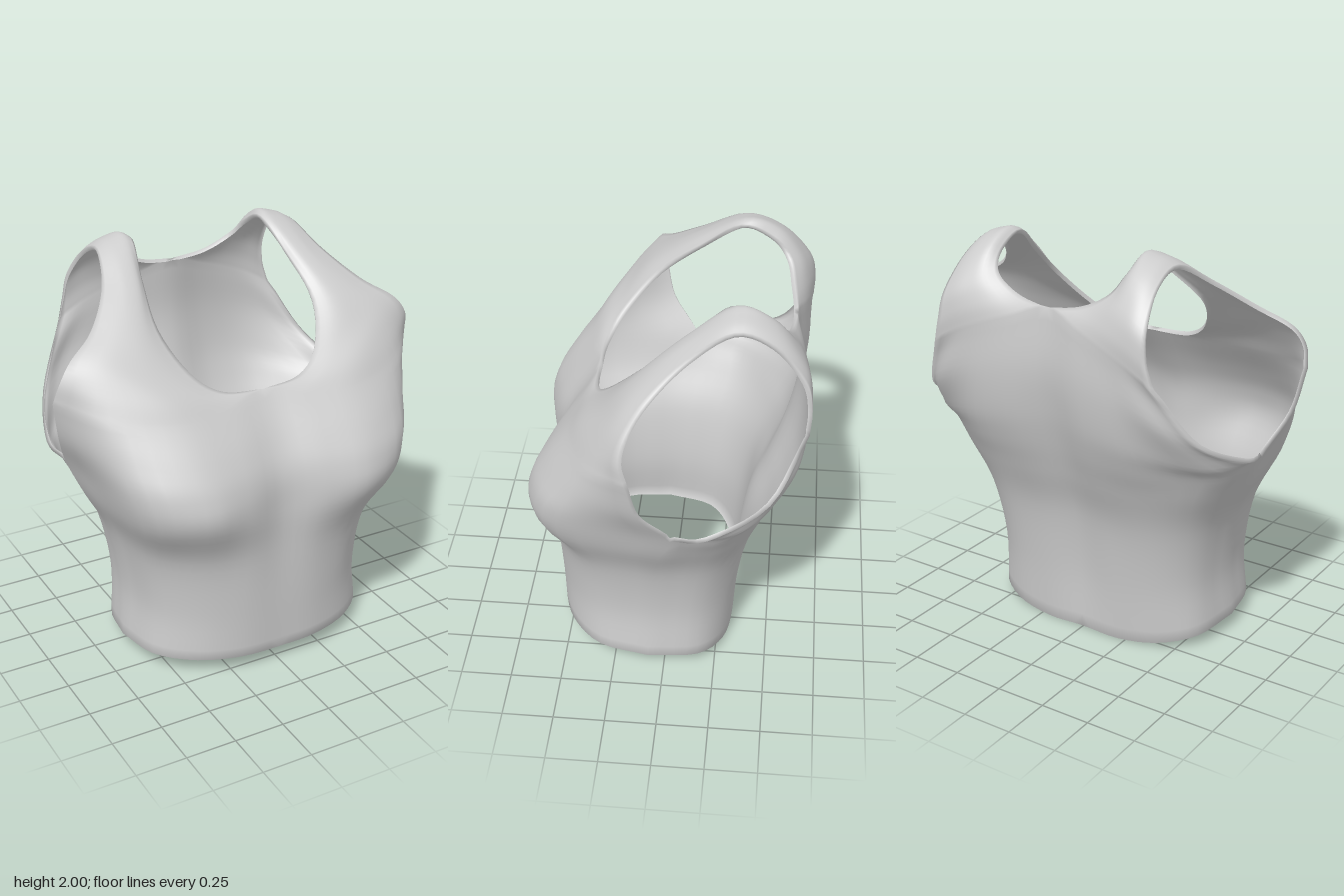
import * as THREE from 'three';
import { mergeVertices } from 'three/addons/utils/BufferGeometryUtils.js';

const ACROSS = 16; // samples from the middle to the side
const ALONG = 5;   // samples between two cross-sections

// Half cross-sections (x > 0), each five points from the middle or neck edge to the side or armhole edge
const front = [ // hem up to the neckline
  [0, .08, .55, .21, .085, .545, .42, .09, .475, .58, .09, .32, .63, .08, .08],
  [0, .35, .56, .21, .35, .555, .41, .35, .48, .56, .35, .32, .61, .35, .06],
  [0, .65, .565, .2, .65, .58, .43, .65, .52, .605, .65, .34, .66, .65, .04],
  [0, .86, .57, .22, .88, .63, .45, .89, .645, .68, .88, .47, .765, .87, 0],
  [0, 1.04, .555, .22, 1.04, .61, .46, 1.04, .635, .73, 1.05, .47, .83, 1.03, -.05],
  [0, 1.2, .48, .22, 1.18, .54, .48, 1.18, .56, .76, 1.21, .405, .91, 1.22, .08],
  [0, 1.39, .36, .22, 1.34, .425, .48, 1.34, .445, .77, 1.37, .335, .95, 1.43, .13],
];
const back = [ // hem up to the back neckline
  [0, .005, -.32, .21, 0, -.32, .42, .025, -.285, .58, .06, -.165, .63, .08, .08],
  [0, .33, -.325, .21, .33, -.345, .42, .34, -.31, .57, .35, -.175, .61, .35, .06],
  [0, .65, -.37, .21, .65, -.395, .43, .65, -.37, .61, .65, -.225, .66, .65, .04],
  [0, .88, -.45, .22, .88, -.485, .46, .88, -.455, .69, .87, -.295, .765, .87, 0],
  [0, 1.06, -.51, .22, 1.05, -.555, .48, 1.03, -.525, .76, 1, -.315, .83, 1.03, -.05],
  [0, 1.25, -.56, .22, 1.22, -.605, .46, 1.17, -.59, .72, 1.09, -.445, .855, 1.07, -.22],
  [0, 1.47, -.59, .2, 1.44, -.625, .4, 1.38, -.635, .6, 1.3, -.605, .755, 1.21, -.49],
  [0, 1.74, -.57, .17, 1.68, -.605, .31, 1.63, -.63, .45, 1.57, -.645, .595, 1.49, -.645],
];
const strap = [ // front neckline over the shoulder to the back neckline
  front[6],
  [.2, 1.41, .34, .34, 1.42, .375, .52, 1.44, .375, .74, 1.48, .29, .925, 1.53, .16],
  [.33, 1.5, .27, .44, 1.52, .285, .57, 1.55, .27, .72, 1.6, .21, .86, 1.62, .14],
  [.41, 1.67, .11, .48, 1.68, .14, .55, 1.69, .14, .63, 1.705, .11, .72, 1.71, .06],
  [.385, 1.84, -.1, .42, 1.86, -.08, .48, 1.86, -.075, .53, 1.85, -.08, .59, 1.84, -.1],
  [.345, 1.98, -.28, .38, 2, -.3, .43, 1.99, -.3, .48, 1.975, -.3, .525, 1.95, -.3],
  [.34, 1.92, -.44, .38, 1.95, -.46, .43, 1.94, -.475, .48, 1.92, -.48, .525, 1.89, -.48],
  [.3, 1.84, -.52, .36, 1.83, -.565, .42, 1.81, -.59, .485, 1.78, -.61, .55, 1.74, -.615],
  [.17, 1.77, -.55, .27, 1.74, -.595, .37, 1.71, -.625, .47, 1.67, -.645, .565, 1.61, -.65],
  back[7],
];

const spline = (pts) => new THREE.CatmullRomCurve3(pts, false, 'catmullrom', 0.5);

// Smooth one cross-section; sections on the centre line continue into their mirror image
function sampleRow(row) {
  const p = [];
  for (let i = 0; i < row.length; i += 3) p.push(new THREE.Vector3(row[i], row[i + 1], row[i + 2]));
  const ghost = row[0] === 0
    ? p[1].clone().setX(-p[1].x)
    : p[0].clone().multiplyScalar(2).sub(p[1]);
  const curve = spline([ghost, ...p]);
  const n = p.length;
  return Array.from({ length: ACROSS + 1 }, (_, j) => curve.getPoint((1 + (n - 1) * j / ACROSS) / n));
}

// Loft smoothly through the cross-sections
function loft(rows) {
  const sampled = rows.map(sampleRow);
  const steps = (rows.length - 1) * ALONG;
  const columns = sampled[0].map((_, j) => spline(sampled.map((r) => r[j])).getPoints(steps));
  return Array.from({ length: steps + 1 }, (_, i) => columns.map((c) => c[i]));
}

// Add a grid and its mirrored half
function addGrid(out, grid) {
  for (const side of [1, -1]) {
    const tri = (a, b, c) => {
      for (const p of side > 0 ? [a, b, c] : [a, c, b]) out.push(p.x * side, p.y, p.z);
    };
    for (let i = 0; i + 1 < grid.length; i++) {
      for (let j = 0; j < ACROSS; j++) {
        const a = grid[i][j], b = grid[i][j + 1], c = grid[i + 1][j + 1], d = grid[i + 1][j];
        tri(a, b, c);
        tri(a, c, d);
      }
    }
  }
}

function weld(positions) {
  const g = new THREE.BufferGeometry();
  g.setAttribute('position', new THREE.Float32BufferAttribute(positions, 3));
  const welded = mergeVertices(g, 1e-4);
  welded.computeVertexNormals();
  return welded;
}

// Turn every open edge inwards as a narrow hem
function addHems(positions, depth) {
  const g = weld(positions);
  const { position, normal } = g.attributes;
  const index = g.index.array;
  const edges = new Map();
  for (let i = 0; i < index.length; i += 3) {
    for (let k = 0; k < 3; k++) {
      const a = index[i + k], b = index[i + (k + 1) % 3];
      if (a !== b) edges.set(`${a},${b}`, [a, b]);
    }
  }
  const outer = (i) => new THREE.Vector3().fromBufferAttribute(position, i);
  const inner = (i) => outer(i).addScaledVector(new THREE.Vector3().fromBufferAttribute(normal, i), -depth);
  for (const [a, b] of edges.values()) {
    if (edges.has(`${b},${a}`)) continue;
    for (const p of [outer(b), outer(a), inner(a), outer(b), inner(a), inner(b)]) positions.push(p.x, p.y, p.z);
  }
}

export function createModel() {
  const fabric = new THREE.MeshStandardMaterial({ color: 0xcccccc, side: THREE.DoubleSide });
  fabric.name = 'light grey fabric';

  const frontGrid = loft(front);
  const backGrid = loft(back);
  // Close the side seams from hem to armpit
  for (let i = 0; i <= 4 * ALONG; i++) backGrid[i][ACROSS] = frontGrid[i][ACROSS];

  const positions = [];
  addGrid(positions, frontGrid);
  addGrid(positions, loft(strap));
  addGrid(positions, backGrid.reverse());
  addHems(positions, 0.02);

  const top = new THREE.Mesh(weld(positions), fabric);
  top.name = 'sleevelessTop';
  const group = new THREE.Group();
  group.name = 'garment';
  group.add(top);
  return group;
}
